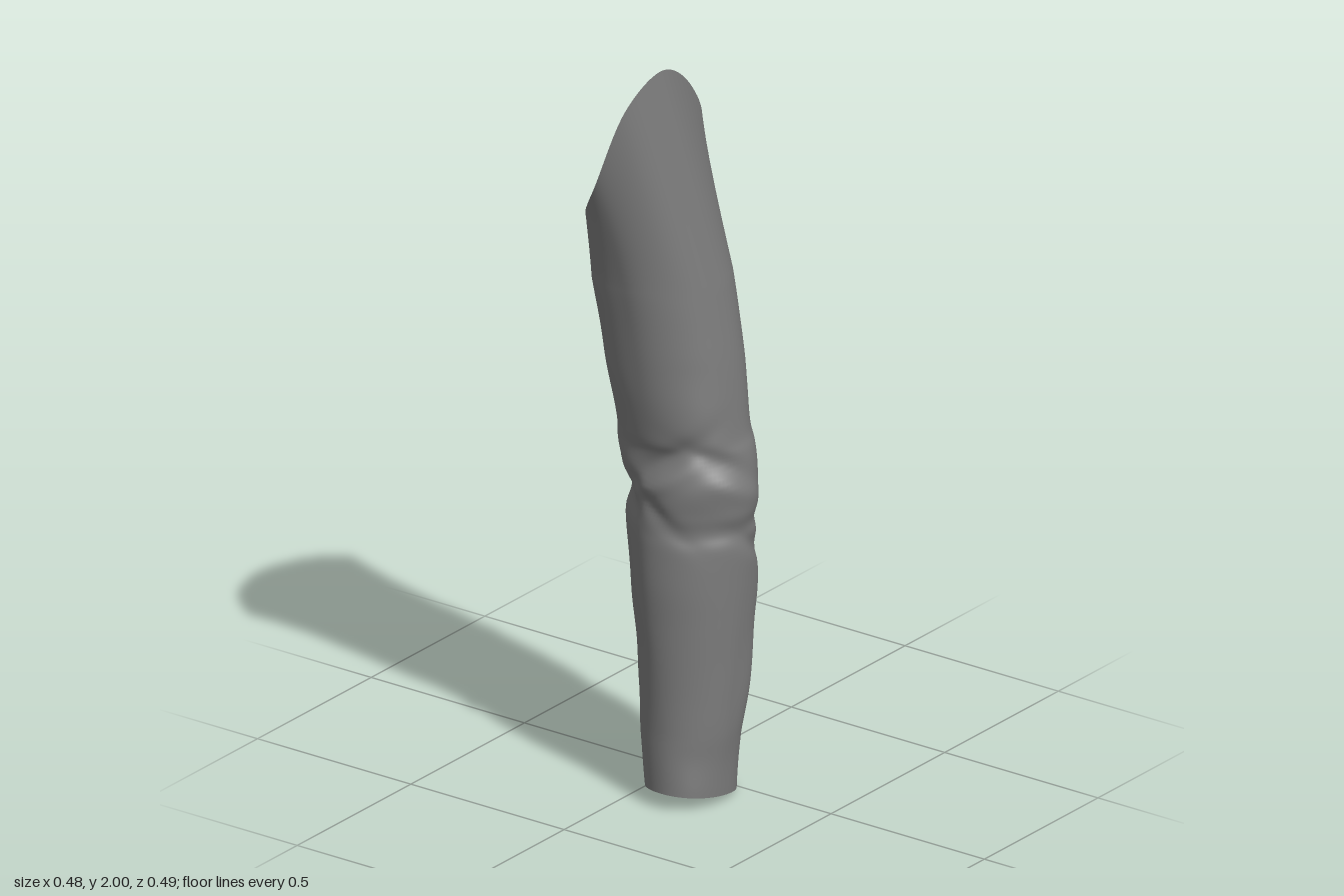
import * as THREE from 'three';

const SIDES = 96, LOWER = 100, UPPER = 30;

// Arm profile up to the armhole: [y, xMin, xMax, zMin, zMax]
const PROFILE = [
  [0.00, 0.02, 0.232, -0.018, 0.243], [0.10, 0.00, 0.232, -0.028, 0.235],
  [0.20, -0.02, 0.237, -0.04, 0.225], [0.30, -0.038, 0.237, -0.06, 0.216],
  [0.40, -0.06, 0.236, -0.09, 0.21], [0.50, -0.09, 0.236, -0.12, 0.205],
  [0.60, -0.11, 0.236, -0.15, 0.2], [0.70, -0.132, 0.234, -0.16, 0.188],
  [0.75, -0.138, 0.225, -0.162, 0.18], [0.80, -0.125, 0.234, -0.167, 0.177],
  [0.87, -0.125, 0.23, -0.177, 0.172], [0.95, -0.163, 0.212, -0.19, 0.15],
  [1.00, -0.165, 0.196, -0.195, 0.155], [1.10, -0.176, 0.182, -0.2, 0.16],
  [1.20, -0.19, 0.166, -0.205, 0.161], [1.30, -0.205, 0.146, -0.208, 0.162],
  [1.40, -0.222, 0.125, -0.21, 0.166],
];
const xCurve = new THREE.CatmullRomCurve3(PROFILE.map(p => new THREE.Vector3(p[0], p[1], p[2])), false, 'catmullrom');
const zCurve = new THREE.CatmullRomCurve3(PROFILE.map(p => new THREE.Vector3(p[0], p[3], p[4])), false, 'catmullrom');

// Fullness on the diagonals: [y, at 45, 135, 225 and 315 degrees from +x towards +z]
const BULGE = [
  [0.0, 0.002, 0.005, 0.005, 0.005], [0.15, -0.004, 0.002, 0.027, 0.008],
  [0.3, -0.005, -0.003, 0.034, 0.02], [0.5, -0.003, -0.014, 0.026, 0.009],
  [0.7, -0.004, -0.017, 0.02, -0.008], [0.8, -0.01, -0.02, 0.02, -0.01],
  [0.9, -0.002, 0.012, -0.006, -0.012], [1.0, 0.004, 0.005, -0.012, -0.016],
  [1.2, -0.005, 0.018, 0.004, -0.011], [1.4, -0.005, 0.022, 0.012, -0.008],
];

function bulge(a, y) {
  let k = 0;
  while (k < BULGE.length - 2 && y > BULGE[k + 1][0]) k++;
  const lo = BULGE[k], hi = BULGE[k + 1], u = THREE.MathUtils.smoothstep(y, lo[0], hi[0]);
  const quarter = Math.min(4, 1 + Math.floor(a / (Math.PI / 2)));
  return THREE.MathUtils.lerp(lo[quarter], hi[quarter], u) * Math.sin(2 * a) ** 2;
}

// Slanted armhole edge, one point every 45 degrees from +x towards +z
const rimCurve = new THREE.CatmullRomCurve3([
  [-0.025, 2.0, 0.035], [-0.05, 1.92, 0.165], [-0.108, 1.72, 0.213], [-0.188, 1.59, 0.152],
  [-0.24, 1.52, 0], [-0.195, 1.56, -0.16], [-0.108, 1.72, -0.245], [-0.062, 1.89, -0.14],
].map(p => new THREE.Vector3(...p)), true, 'catmullrom');

// Elbow folds: [angle, y, rise per radian, thickness, reach in radians, depth]
const FOLDS = [
  [1.5, 0.93, -0.10, 0.028, 0.7, -0.014],
  [1.6, 0.88, -0.08, 0.028, 0.7, 0.01],
  [1.7, 0.82, 0.12, 0.028, 0.6, -0.012],
  [0.4, 0.93, 0.09, 0.03, 0.6, -0.012],
  [0.2, 0.86, 0.07, 0.03, 0.6, 0.006],
  [-0.3, 0.69, 0.09, 0.025, 0.5, -0.013],
  [2.9, 0.86, 0.08, 0.03, 0.7, -0.008],
  [3.9, 0.76, -0.07, 0.03, 0.6, -0.008],
  [4.2, 0.66, 0.08, 0.025, 0.5, -0.008],
];
const angleGap = (a, b) => Math.atan2(Math.sin(a - b), Math.cos(a - b));

function foldDepth(a, y) {
  let d = 0;
  for (const [a0, y0, rise, thick, reach, depth] of FOLDS) {
    const g = angleGap(a, a0);
    d += depth * Math.exp(-(((y - y0 - rise * g) / thick) ** 2) - (g / reach) ** 2);
  }
  // long crease down the back of the forearm
  const g = angleGap(a, -1.12 - 0.4 * Math.max(0, y - 0.15));
  const fade = THREE.MathUtils.smoothstep(y, 0.02, 0.15) * (1 - THREE.MathUtils.smoothstep(y, 0.48, 0.64));
  return d - 0.014 * fade * Math.exp(-((g / 0.1) ** 2));
}

// Closed arm tube below the armhole
function armPoint(a, t) {
  const px = xCurve.getPoint(t), pz = zCurve.getPoint(t);
  const c = Math.cos(a), s = Math.sin(a), d = foldDepth(a, px.x) + bulge(a, px.x);
  const tilt = 0.045 * (0.5 + 0.5 * s) * Math.max(0, 1 - px.x / 0.2);
  return new THREE.Vector3(
    (px.y + px.z) / 2 + ((px.z - px.y) / 2 + d) * c,
    px.x + tilt,
    (pz.y + pz.z) / 2 + ((pz.z - pz.y) / 2 + d) * s);
}

function sleeveGeometry() {
  const pos = [], index = [], rows = LOWER + UPPER;
  for (let r = 0; r <= rows; r++) {
    for (let i = 0; i < SIDES; i++) {
      const a = (i / SIDES) * Math.PI * 2;
      const p = armPoint(a, Math.min(1, r / LOWER));
      if (r > LOWER) {
        // rise to the armhole edge, flaring late at the front and back
        const u = (r - LOWER) / UPPER, rim = rimCurve.getPoint(i / SIDES);
        const flare = u ** (1 + 0.6 * Math.sin(a) ** 4);
        p.set(p.x + (rim.x - p.x) * u, p.y + (rim.y - p.y) * u, p.z + (rim.z - p.z) * flare);
      }
      pos.push(p.x, p.y, p.z);
    }
  }
  const slit = Math.round(SIDES * 0.625), slitRows = 23;
  for (let r = 0; r < rows; r++) {
    for (let i = 0; i < SIDES; i++) {
      // cuff slit, open to the hem
      if (r < slitRows && i >= slit - 2 && i < slit + 1) continue;
      const j = (i + 1) % SIDES;
      const a = r * SIDES + i, b = r * SIDES + j, c = a + SIDES, d = b + SIDES;
      index.push(a, c, b, b, c, d);
    }
  }
  const g = new THREE.BufferGeometry();
  g.setAttribute('position', new THREE.Float32BufferAttribute(pos, 3));
  g.setIndex(index);
  g.computeVertexNormals();
  return g;
}

export function createModel() {
  const group = new THREE.Group();
  group.name = 'sleeve';
  const cloth = new THREE.MeshStandardMaterial({ color: 0x777777, side: THREE.DoubleSide });
  const sleeve = new THREE.Mesh(sleeveGeometry(), cloth);
  sleeve.name = 'sleeveCloth';
  group.add(sleeve);
  return group;
}
